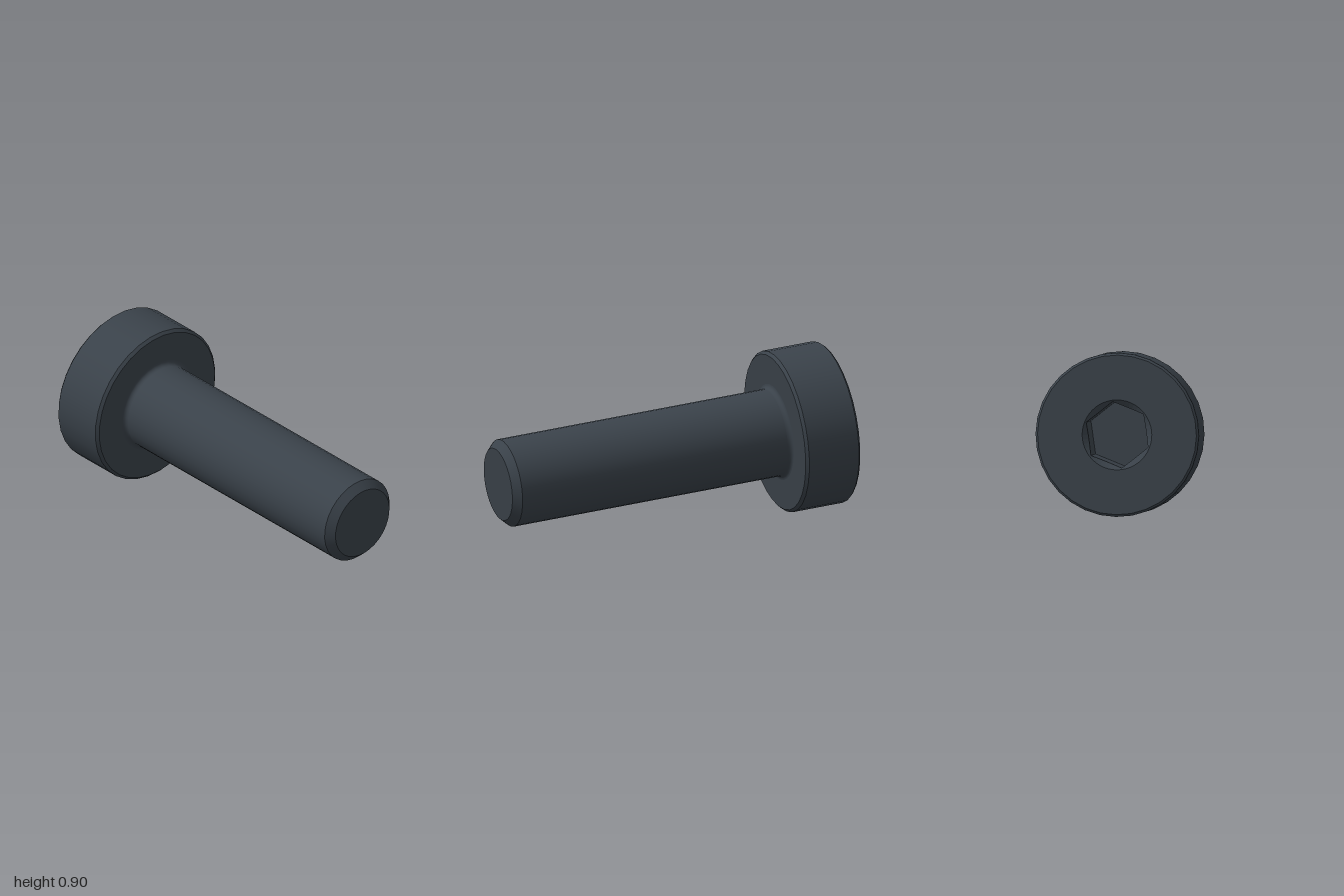
import * as THREE from 'three';

const SEG = 32;
const HEAD_R = 0.436, FACE_R = 0.424, SHANK_R = 0.236, TIP_R = 0.196;
const HEAD_LEN = 0.313, LENGTH = 1.908, FILLET = 0.024;
const MOUTH_R = 0.186, HEX_R = 0.178, HEX_DEPTH = 0.25, HEX_TURN = -0.37;

export function createModel() {
  const steel = new THREE.MeshStandardMaterial({ color: 0x3a424a });
  steel.name = 'dark steel';

  // The screw is built along +y from the head face at y = 0 to the tip
  const screw = new THREE.Group();
  screw.name = 'socketScrew';
  const add = (name, geometry) => {
    const mesh = new THREE.Mesh(geometry, steel);
    mesh.name = name;
    screw.add(mesh);
  };
  // Each turned section is separate, so edges between sections stay sharp
  const turned = (name, points) =>
    add(name, new THREE.LatheGeometry(points.map(([r, y]) => new THREE.Vector2(r, y)), SEG));

  // Head
  turned('headRearChamfer', [[FACE_R, 0], [HEAD_R, 0.012]]);
  turned('headSide', [[HEAD_R, 0.012], [HEAD_R, HEAD_LEN - 0.015]]);
  turned('headFrontChamfer', [[HEAD_R, HEAD_LEN - 0.015], [0.421, HEAD_LEN]]);
  turned('headUnderside', [[0.421, HEAD_LEN], [SHANK_R + FILLET, HEAD_LEN]]);

  // Shank, with a small fillet at the head and a chamfered tip
  const fillet = [];
  for (let i = 0; i <= 5; i++) {
    const a = (i / 5) * Math.PI / 2;
    fillet.push([SHANK_R + FILLET * (1 - Math.sin(a)), HEAD_LEN + FILLET * (1 - Math.cos(a))]);
  }
  turned('shankFillet', fillet);
  turned('shank', [[SHANK_R, HEAD_LEN + FILLET], [SHANK_R, LENGTH - 0.042]]);
  turned('tipChamfer', [[SHANK_R, LENGTH - 0.042], [TIP_R, LENGTH]]);
  turned('tipFace', [[TIP_R, LENGTH], [0, LENGTH]]);

  // Head face with a round opening
  const steps = 48;
  const circle = (r, n, turn = 0) => Array.from({ length: n }, (_, i) => {
    const a = turn + (i / n) * Math.PI * 2;
    return new THREE.Vector2(r * Math.cos(a), r * Math.sin(a));
  });
  const face = new THREE.Shape(circle(FACE_R, SEG));
  face.holes.push(new THREE.Path(circle(MOUTH_R, steps, HEX_TURN)));
  add('headFace', new THREE.ShapeGeometry(face).rotateX(Math.PI / 2));

  // Hexagonal socket: conical mouth cut into six flat walls, then a floor
  const ring = [];
  for (let i = 0; i <= steps; i++) {
    const a = (i / steps) * Math.PI * 2;
    const fromMid = (a % (Math.PI / 3)) - Math.PI / 6;
    const hex = HEX_R * Math.cos(Math.PI / 6) / Math.cos(fromMid);
    const at = (r, y) => [r * Math.cos(a + HEX_TURN), y, r * Math.sin(a + HEX_TURN)];
    ring.push([at(MOUTH_R, 0), at(hex, (MOUTH_R - hex) * 0.8), at(hex, HEX_DEPTH)]);
  }
  const strip = (level) => {
    const pos = [];
    for (let i = 0; i < steps; i++) {
      const a = ring[i][level], b = ring[i + 1][level];
      const c = ring[i + 1][level + 1], d = ring[i][level + 1];
      pos.push(...a, ...b, ...c, ...a, ...c, ...d);
    }
    const g = new THREE.BufferGeometry();
    g.setAttribute('position', new THREE.Float32BufferAttribute(pos, 3));
    g.computeVertexNormals();
    return g;
  };
  add('socketMouth', strip(0));
  add('socketWalls', strip(1));
  add('socketFloor', new THREE.CircleGeometry(HEX_R, 6, HEX_TURN)
    .rotateX(Math.PI / 2).translate(0, HEX_DEPTH, 0));

  // Lay the screw down, its tip towards the left front and slightly lower
  const axis = new THREE.Vector3(1, -0.127, 0.212).normalize();
  const side = new THREE.Vector3(-axis.z, 0, axis.x).normalize();
  const up = new THREE.Vector3().crossVectors(side, axis);
  screw.quaternion.setFromRotationMatrix(new THREE.Matrix4().makeBasis(side, axis, up));
  screw.position.set(-0.9, 0.468, -0.096);

  const model = new THREE.Group();
  model.name = 'screwModel';
  model.add(screw);
  return model;
}
